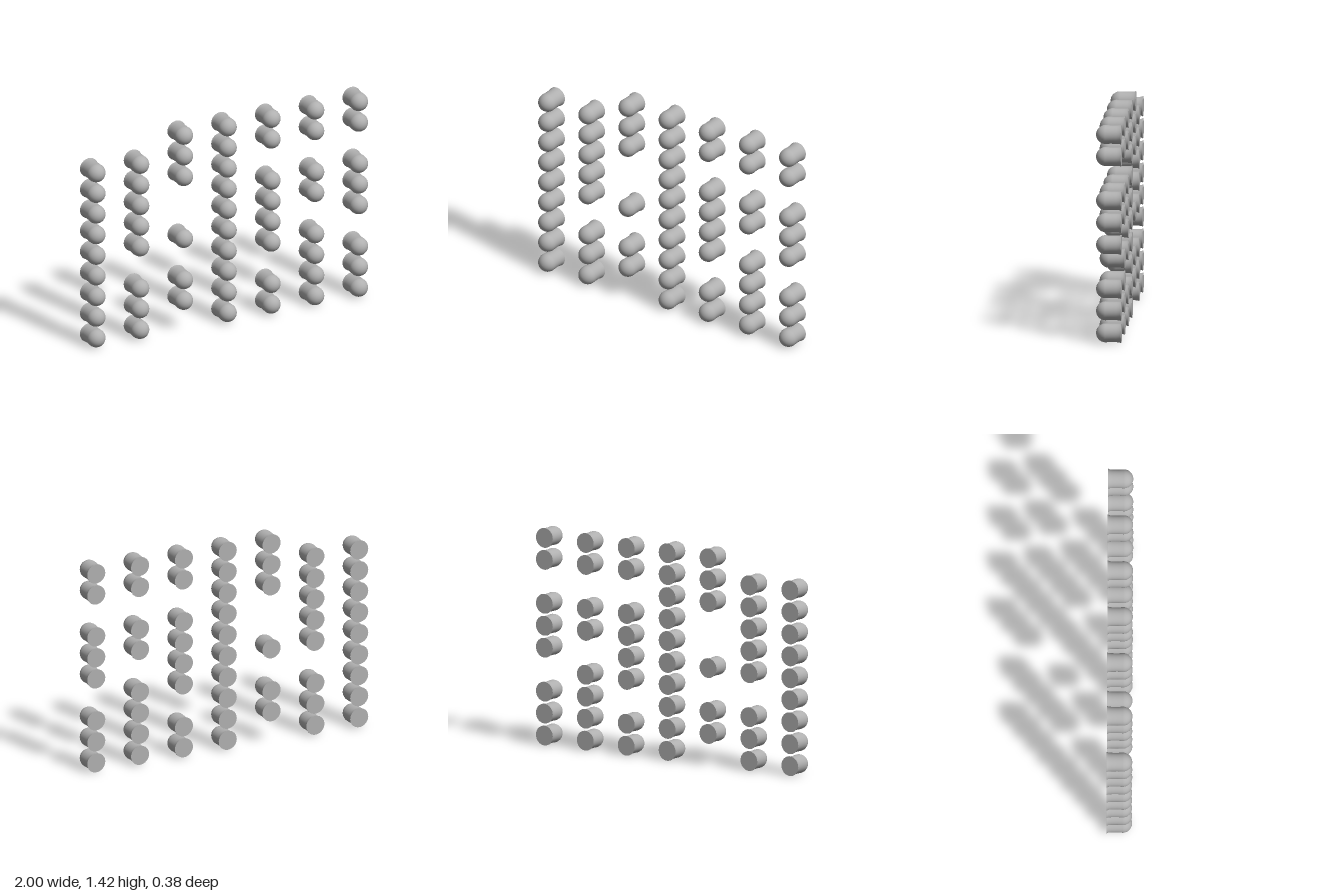
import * as THREE from 'three';
import { mergeGeometries } from 'three/addons/utils/BufferGeometryUtils.js';

const LENGTH = 0.163, RIM = 0.0645, DOME = 0.061;
const COLUMN_STEP = 0.313, ROW_STEP = 0.1433, TILT = -0.113;

// Filled rows of each column, counted from the bottom
const COLUMNS = [
  [0, 1, 2, 3, 4, 5, 6, 7, 8],
  [0, 1, 2, 4, 5, 6, 7, 8],
  [1, 2, 4, 7, 8, 9],
  [0, 1, 2, 3, 4, 5, 6, 7, 8, 9],
  [0, 1, 3, 4, 5, 6, 8, 9],
  [0, 1, 2, 3, 5, 6, 8, 9],
  [0, 1, 2, 4, 5, 6, 8, 9],
];

// Round-nosed peg along +z: flared rim, slim neck, domed tip, flat back
function pegGeometry() {
  const profile = [[RIM, 0], [RIM, 0.003], [0.061, 0.01], [0.0595, 0.03], [0.059, 0.07]]
    .map(([r, y]) => new THREE.Vector2(r, y));
  const steps = 12;
  for (let i = 0; i <= steps; i++) {
    const a = (i / steps) * Math.PI / 2;
    profile.push(new THREE.Vector2(
      i === steps ? 0 : DOME * Math.cos(a),
      LENGTH - DOME + DOME * Math.sin(a)));
  }
  const body = new THREE.LatheGeometry(profile, 32).rotateX(Math.PI / 2);
  const back = new THREE.CircleGeometry(RIM, 32).rotateY(Math.PI);
  return mergeGeometries([body, back]);
}

export function createModel() {
  const model = new THREE.Group();
  model.name = 'pegGrid';
  const grey = new THREE.MeshStandardMaterial({ color: 0xb0b0b0 });
  grey.name = 'grey';
  const geometry = pegGeometry();

  // The whole grid is turned slightly about the vertical axis
  const grid = new THREE.Group();
  grid.name = 'turnedGrid';
  grid.rotation.y = TILT;
  grid.position.set(0.003, 0, -0.0765);
  model.add(grid);

  COLUMNS.forEach((rows, c) => {
    const column = new THREE.Group();
    column.name = `column${c + 1}`;
    column.position.x = (c - 3) * COLUMN_STEP;
    for (const row of rows) {
      const peg = new THREE.Mesh(geometry, grey);
      peg.name = `peg${row + 1}`;
      peg.position.y = 0.067 + row * ROW_STEP;
      column.add(peg);
    }
    grid.add(column);
  });
  return model;
}
